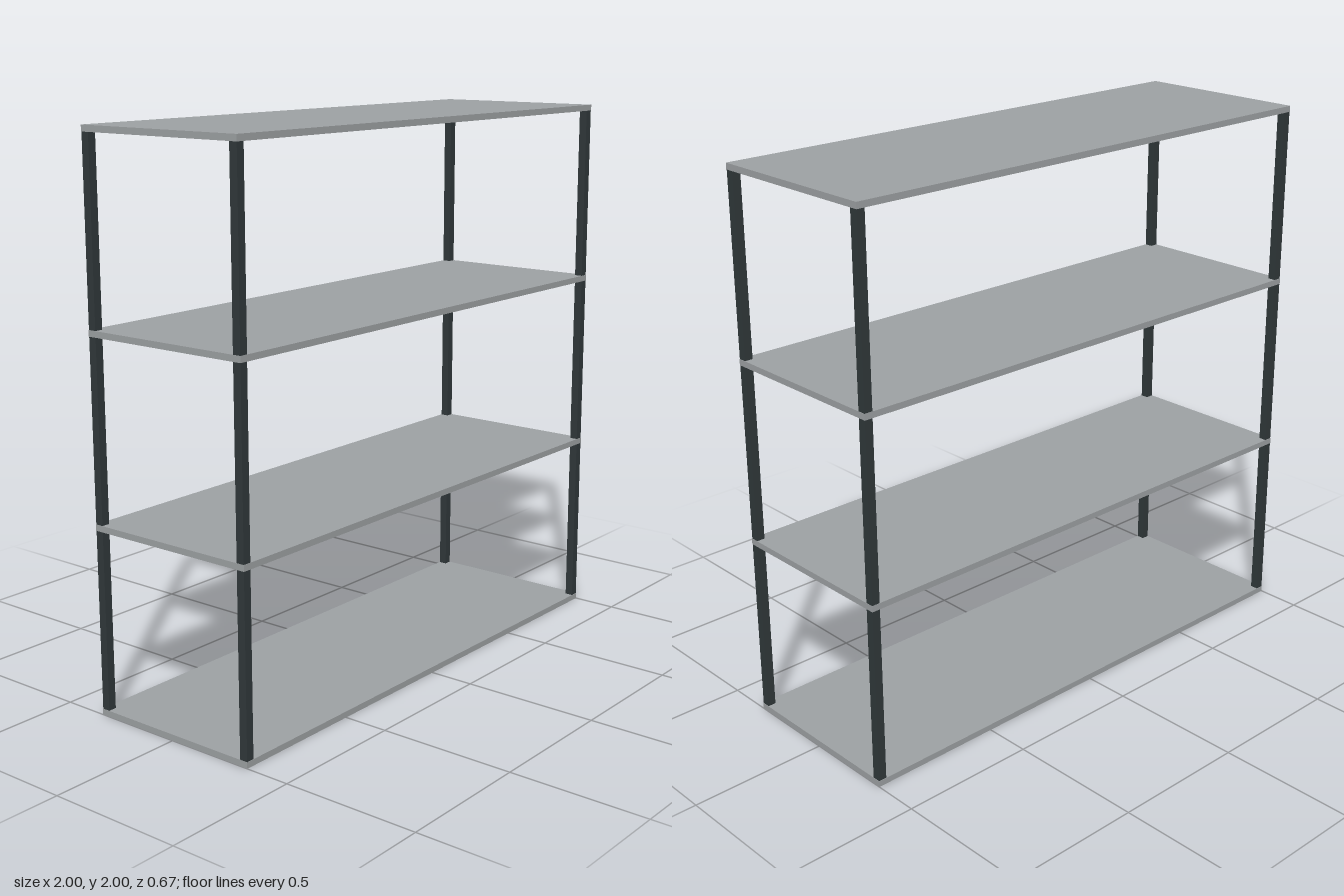
import * as THREE from 'three';

const WIDTH = 2, DEPTH = 0.667, HEIGHT = 2;
const BOARD = 0.022, POST = 0.03, INSET = 0.001;

export function createModel() {
  const model = new THREE.Group();
  model.name = 'shelfUnit';

  const boardGrey = new THREE.MeshStandardMaterial({ color: 0x9da1a3 });
  boardGrey.name = 'boardGrey';
  const postCharcoal = new THREE.MeshStandardMaterial({ color: 0x30383a });
  postCharcoal.name = 'postCharcoal';

  // Four evenly spaced boards, from the floor to the top
  const boardGeometry = new THREE.BoxGeometry(WIDTH, BOARD, DEPTH);
  const spacing = (HEIGHT - BOARD) / 3;
  for (let i = 0; i < 4; i++) {
    const board = new THREE.Mesh(boardGeometry, boardGrey);
    board.name = `shelfBoard${i + 1}`;
    board.position.y = BOARD / 2 + i * spacing;
    model.add(board);
  }

  // Square corner posts, divided by the boards
  const postLength = spacing - BOARD;
  const postGeometry = new THREE.BoxGeometry(POST, postLength, POST);
  for (const x of [-1, 1]) {
    for (const z of [-1, 1]) {
      const post = new THREE.Group();
      post.name = `${z > 0 ? 'front' : 'back'}${x > 0 ? 'Left' : 'Right'}Post`;
      for (let i = 0; i < 3; i++) {
        const section = new THREE.Mesh(postGeometry, postCharcoal);
        section.name = `postSection${i + 1}`;
        section.position.y = BOARD + postLength / 2 + i * spacing;
        post.add(section);
      }
      post.position.set(
        x * (WIDTH / 2 - POST / 2 - INSET), 0,
        z * (DEPTH / 2 - POST / 2 - INSET));
      model.add(post);
    }
  }
  return model;
}
